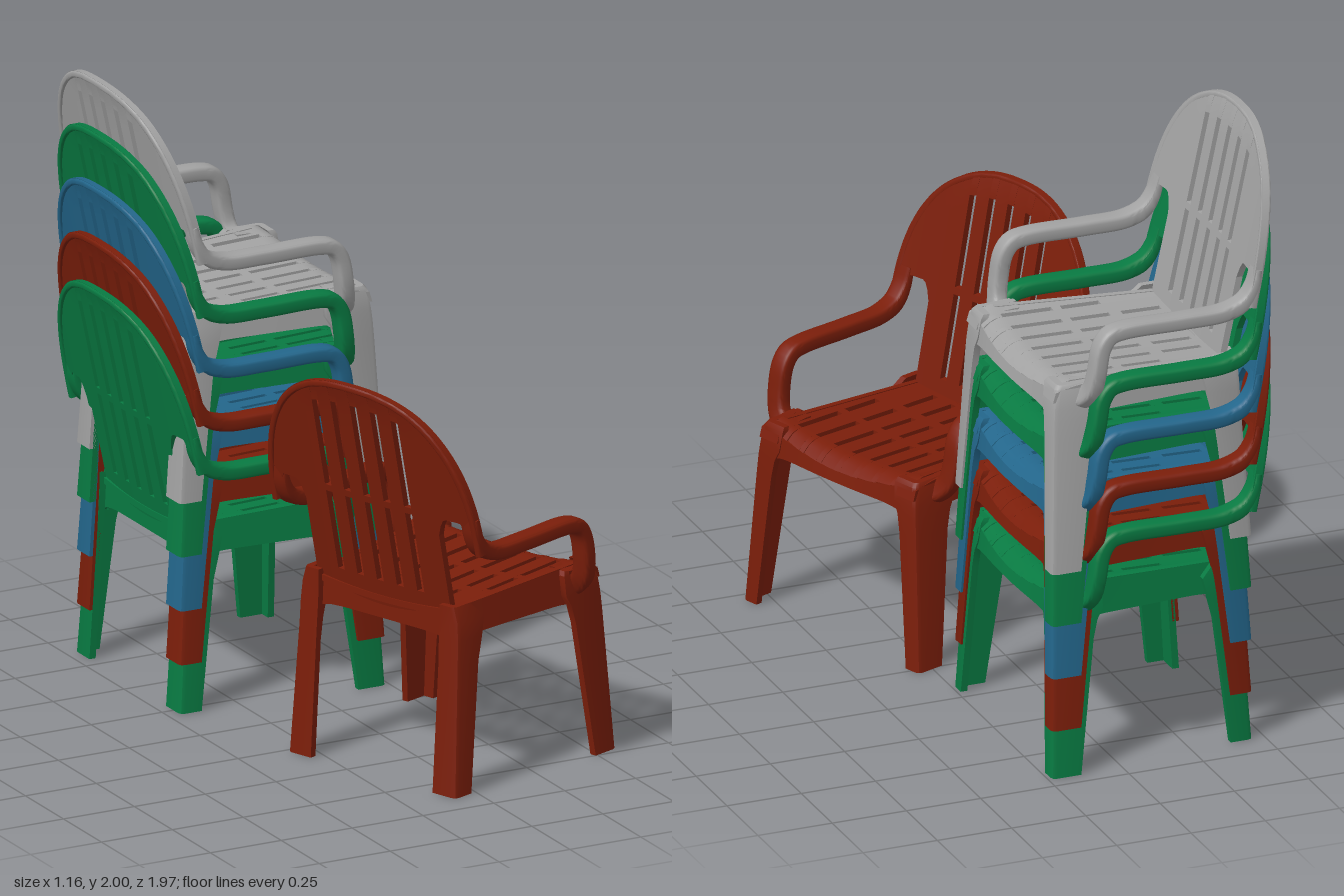
import * as THREE from 'three';
import { mergeGeometries, toCreasedNormals } from 'three/addons/utils/BufferGeometryUtils.js';

const V = (x, y, z) => new THREE.Vector3(x, y, z);
const lerp = THREE.MathUtils.lerp;

// Position + index geometry with outward winding and creased normals
function solid(pos, index) {
  let vol = 0;
  const p = i => V(pos[i * 3], pos[i * 3 + 1], pos[i * 3 + 2]);
  for (let i = 0; i < index.length; i += 3) vol += p(index[i]).dot(p(index[i + 1]).cross(p(index[i + 2])));
  if (vol < 0) index.reverse();
  const g = new THREE.BufferGeometry();
  g.setAttribute('position', new THREE.Float32BufferAttribute(pos, 3));
  g.setIndex(index);
  return toCreasedNormals(g, 0.65);
}

// Subdivided box warped by P(u, v, w), each 0..1
function slab(P, nu, nv) {
  const b = new THREE.BoxGeometry(1, 1, 1, nu, nv, 1), a = b.attributes.position, pos = [];
  for (let i = 0; i < a.count; i++) pos.push(...P(a.getX(i) + 0.5, a.getY(i) + 0.5, a.getZ(i) + 0.5).toArray());
  return solid(pos, Array.from(b.index.array));
}

// Skin over matching rings of points, capped at both ends
function loft(rings) {
  const n = rings[0].length, m = rings.length, pos = [], idx = [];
  rings.forEach(r => r.forEach(p => pos.push(p.x, p.y, p.z)));
  for (let i = 0; i < m - 1; i++) for (let j = 0; j < n; j++) {
    const a = i * n + j, b = i * n + (j + 1) % n;
    idx.push(a, b, a + n, b, b + n, a + n);
  }
  const e = (m - 1) * n;
  for (let j = 1; j < n - 1; j++) idx.push(0, j + 1, j, e, e + j, e + j + 1);
  return solid(pos, idx);
}

// Rounded bar swept along a smooth path; width lies along 'side', thickness is a function of 0..1
function sweep(points, side, width, thick, steps) {
  const curve = new THREE.CatmullRomCurve3(points, false, 'centripetal'), rings = [];
  for (let i = 0; i <= steps; i++) {
    const c = curve.getPointAt(i / steps), t = curve.getTangentAt(i / steps), h = thick(i / steps);
    const s = side.clone().addScaledVector(t, -side.dot(t)).normalize(), n = t.clone().cross(s), ring = [];
    for (let k = 0; k < 16; k++) {
      const a = (k + 0.5) / 16 * Math.PI * 2, f = q => Math.sign(q) * Math.abs(q) ** 0.45;
      ring.push(c.clone().addScaledVector(s, f(Math.cos(a)) * width / 2).addScaledVector(n, f(Math.sin(a)) * h / 2));
    }
    rings.push(ring);
  }
  return loft(rings);
}

// Angle-section leg; levels are [y, inner x, outer x, inner z, outer z]
function leg(levels, s) {
  const t = 0.022, c = 0.016;
  return loft(levels.map(([y, x0, x1, z0, z1]) => {
    const d = Math.sign(x1 - x0);
    return [[x1 - d * t, z1 - t], [x0, z1 - t], [x0, z1], [x1 - d * c, z1], [x1 - d * c * 0.3, z1 - c * 0.3],
      [x1, z1 - c], [x1, z0], [x1 - d * t, z0]].map(([x, z]) => V(x, y, z * s));
  }));
}

// Governing surfaces of the chair, which faces +x
const H = 0.43;
const backX = (y, z) => -0.39 - 0.215 * (y - 0.6) + 0.14 * z * z - 0.5 * Math.max(0, y - 1.24) ** 1.5;
const backTop = z => 0.82 + 0.49 * Math.max(0, 1 - (Math.abs(z) / H) ** 2.4) ** (1 / 2.4);
const seatHalf = x => lerp(0.285, 0.325, (x + 0.38) / 0.6);
const seatFront = z => 0.217 - 0.18 * z * z;
const seatY = (x, z) => 0.578 + 0.03 * (x + 0.38) + 0.22 * z * z - 9 * Math.max(0, x - 0.15) ** 2;

function backrest() {
  const out = [], w2 = 0.014, pitch = 0.082;
  const piece = (z0, z1, bot, top, nu = 4, ease = u => u) => out.push(slab((u, v, w) => {
    const z = lerp(z0, z1, ease(u)), y = lerp(bot(z), top(z), v);
    return V(backX(y, z) - 0.022 * w, y, z);
  }, nu, 14));
  const low = () => 0.54, slotTop = z => 1.235 - 0.6 * z * z;
  for (let k = -2; k <= 2; k++) {
    const a = k * pitch - w2, b = k * pitch + w2;
    piece(a, b, low, () => 0.63, 1);
    piece(a, b, () => 0.9, () => 0.922, 1);
    piece(a, b, slotTop, backTop, 1);
    if (k < 2) piece(b, b + pitch - 2 * w2, low, backTop, 2);
  }
  // Shoulders, arched over the openings above the arms
  const arch = z => {
    const h = Math.abs(z);
    return 0.91 - 0.06 * Math.max(0, (0.31 - h) / 0.035) ** 2 - 0.1 * Math.max(0, (h - 0.365) / (H - 0.365));
  };
  for (const s of [-1, 1]) {
    piece(s * (2 * pitch + w2), s * 0.275, low, backTop, 4);
    piece(s * 0.275, s * H, arch, backTop, 20, u => Math.sin(u * Math.PI / 2));
  }
  return mergeGeometries(out);
}

// Edge flange turned backwards around the backrest
function backRim() {
  const pts = [];
  for (let i = 0; i <= 40; i++) {
    const z = -0.42 * Math.cos(i / 40 * Math.PI), y = backTop(z * H / 0.42) - 0.011;
    pts.push(V(backX(y, z) - 0.0145, y, z));
  }
  return sweep(pts, V(1, 0, 0), 0.03, () => 0.022, 70);
}

function seat() {
  const out = [], pitch = 0.082, w2 = 0.011;
  // Strip between z0 and z1; without x1 it runs to the front lip
  const piece = (z0, z1, x0, x1, n) => out.push(slab((u, v, w) => {
    const x = lerp(x0, x1 ?? seatFront(z0), u);
    const edge = z => Math.abs(z) > 0.28 ? Math.sign(z) * seatHalf(x) : z;
    const z = lerp(edge(z0), edge(z1), v);
    return V(x1 === undefined ? lerp(x0, seatFront(z), u) : x, seatY(x, z) - 0.02 * w, z);
  }, n, 2));
  for (let k = -3; k <= 3; k++) {
    const a = k * pitch - w2, b = k * pitch + w2;
    piece(a, b, -0.41, Math.abs(k) === 3 ? -0.19 : -0.36, 2);
    piece(a, b, -0.23, -0.19, 1);
    piece(a, b, -0.06, -0.03, 1);
    piece(a, b, 0.14, undefined, 6);
    if (k < 3) piece(b, b + pitch - 2 * w2, -0.41, undefined, 24);
  }
  for (const s of [-1, 1]) piece(s * (3 * pitch + w2), s * 0.32, -0.41, undefined, 24);
  return mergeGeometries(out);
}

function apron() {
  const out = [];
  const bottom = (u, y) => y - 0.03 * Math.abs(2 * u - 1) ** 8;
  // Front and rear
  out.push(slab((u, v, w) => {
    const z = lerp(-0.315, 0.315, u), x = seatFront(z);
    return V(x - 0.02 * w + 0.008 * (1 - v), lerp(bottom(u, 0.52), seatY(x, z), v), z);
  }, 20, 3));
  out.push(slab((u, v, w) => V(-0.4 + 0.02 * w, lerp(bottom(u, 0.5), 0.58, v), lerp(-0.29, 0.29, u)), 16, 2));
  // Sides
  for (const s of [-1, 1]) out.push(slab((u, v, w) => {
    const x = lerp(-0.38, 0.14, u), h = seatHalf(x);
    return V(x, lerp(bottom(u, 0.5), seatY(x, h), v), s * (h + 0.012 * (1 - v) - 0.02 * w));
  }, 20, 2));
  return mergeGeometries(out);
}

// Arm flows out of the shoulder, runs forward and drops into the front leg
const arm = s => sweep([
  [-0.449, 0.93, 0.396], [-0.434, 0.87, 0.398], [-0.402, 0.822, 0.398], [-0.34, 0.797, 0.397], [-0.2, 0.793, 0.397],
  [0, 0.793, 0.397], [0.045, 0.782, 0.397], [0.072, 0.745, 0.398], [0.088, 0.66, 0.398], [0.097, 0.605, 0.386],
  [0.108, 0.57, 0.355], [0.115, 0.555, 0.325],
].map(([x, y, z]) => V(x, y, z * s)), V(0, 0, 1), 0.066, u => lerp(0.022, 0.05, Math.min(1, u * 6)), 60);

const frontLeg = s => leg([
  [0, 0.14, 0.238, 0.34, 0.4], [0.44, 0.085, 0.22, 0.292, 0.367], [0.5, 0.07, 0.217, 0.28, 0.362],
  [0.535, 0.05, 0.214, 0.262, 0.358], [0.6, 0.05, 0.205, 0.255, 0.35], [0.613, 0.06, 0.195, 0.26, 0.342],
], s);

const rearLeg = s => leg([
  [0, -0.385, -0.46, 0.252, 0.347], [0.42, -0.335, -0.432, 0.252, 0.332], [0.5, -0.315, -0.428, 0.25, 0.33],
  [0.56, -0.3, -0.425, 0.25, 0.325], [0.61, -0.35, -0.425, 0.25, 0.31],
], s);

// Top of each front leg, closing the corner beside the seat
const corner = s => slab((u, v, w) => V(lerp(0.07, 0.205, u) + 0.01 * (1 - v), lerp(0.56, 0.613 - 0.02 * u * u, v),
  s * lerp(0.27, 0.35, w)), 6, 1);

export function createModel() {
  const mat = (name, color) => Object.assign(new THREE.MeshStandardMaterial({ color }), { name });
  const grey = mat('grey plastic', 0xa2a2a2), green = mat('green plastic', 0x087a42);
  const blue = mat('blue plastic', 0x23668b), red = mat('red plastic', 0x7b1e0a);
  const parts = { backrest: backrest(), backRim: backRim(), seat: seat(), apron: apron() };
  for (const [side, s] of [['left', -1], ['right', 1]]) {
    parts[side + 'Armrest'] = arm(s);
    parts[side + 'FrontLeg'] = frontLeg(s);
    parts[side + 'RearLeg'] = rearLeg(s);
    parts[side + 'SeatCorner'] = corner(s);
  }
  const model = new THREE.Group();
  const chair = (name, material, x, y, z, turn = 0) => {
    const g = new THREE.Group();
    g.name = name;
    for (const [part, geo] of Object.entries(parts)) {
      const m = new THREE.Mesh(geo, material);
      m.name = part;
      g.add(m);
    }
    g.position.set(x, y, z);
    g.rotation.y = turn;
    model.add(g);
  };
  // Stack of five chairs and one standing beside it
  [[green, 0], [red, 0.16], [blue, 0.337], [green, 0.515], [grey, 0.69]].forEach(([m, y], i) =>
    chair('stackedChair' + (i + 1), m, 0, y, -0.55));
  chair('singleChair', red, 0.222, 0, 0.425, 0.357);
  return model;
}
